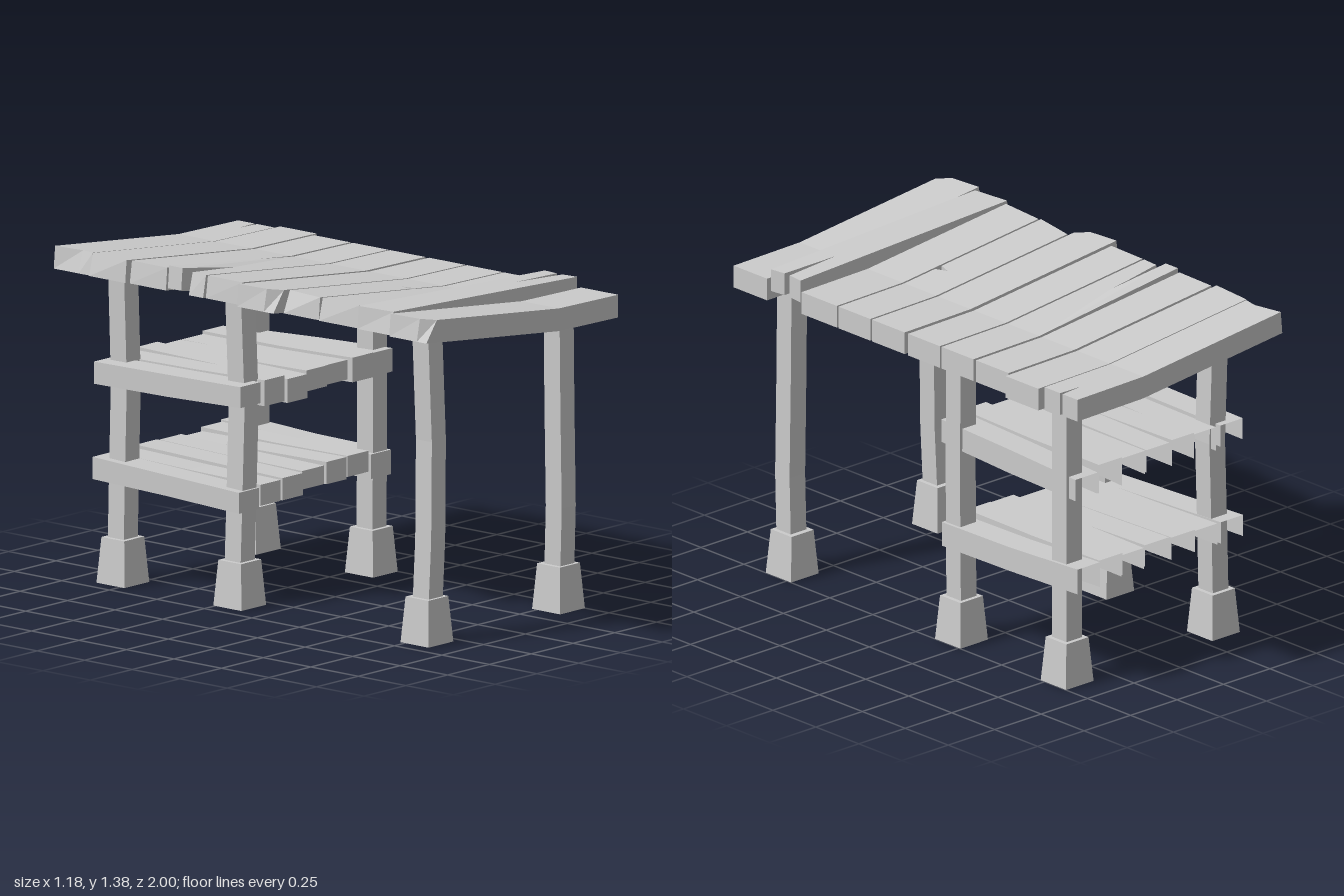
import * as THREE from 'three';

const material = new THREE.MeshStandardMaterial({ color: 0xcccccc, flatShading: true, side: THREE.DoubleSide });

function makeMesh(name, triangles) {
  const geometry = new THREE.BufferGeometry();
  geometry.setAttribute('position', new THREE.Float32BufferAttribute(triangles.flat(2), 3));
  geometry.computeVertexNormals();
  const mesh = new THREE.Mesh(geometry, material);
  mesh.name = name;
  return mesh;
}

const quad = (a, b, c, d) => [[a, b, c], [a, c, d]];

// Skins four-cornered sections; an open loft leaves out the side between the last and first corner
function loft(name, sections, { closed = true, startCap = false, endCap = false }) {
  const tris = [];
  for (let i = 0; i < sections.length - 1; i++) {
    const a = sections[i], b = sections[i + 1];
    for (let k = 0; k < (closed ? 4 : 3); k++) {
      const n = (k + 1) % 4;
      tris.push(...quad(a[k], a[n], b[n], b[k]));
    }
  }
  if (startCap) tris.push(...quad(...[...sections[0]].reverse()));
  if (endCap) tris.push(...quad(...sections[sections.length - 1]));
  return makeMesh(name, tris);
}

// Horizontal square, counter-clockwise from above
const square = (x, y, z, h) => [[x - h, y, z + h], [x + h, y, z + h], [x + h, y, z - h], [x - h, y, z - h]];

// Roof slope: steeper up to the kink, then almost level
const KINK = 0.2;
const bentSlope = (x) => (x < KINK ? 1.285 - (x - KINK) * 0.107 : 1.285 - (x - KINK) * 0.015);
const straightSlope = (x) => 1.345 - x * 0.042;

// Roof plank, open below: plan outline split at the kink, with optional notches
function roofPlank({ z0, z1, xBack = -0.54, xFront = -0.54, x1 = 0.555, leftNotch = [], rightNotch = [],
  frontNotch = [], chamfer = false, slope = bentSlope, lift = () => 0 }) {
  const corner = chamfer ? [[xFront + 0.01, z1 - 0.05], [xFront + 0.055, z1]] : [[xFront, z1]];
  const left = [[KINK, z0], [xBack, z0], ...leftNotch, ...corner, ...frontNotch, [KINK, z1]];
  const right = [[KINK, z1], [x1, z1], ...rightNotch, [x1, z0], [KINK, z0]];
  const xMin = Math.min(xBack, xFront);
  const top = ([x, z]) => [x, slope(x) + lift(x, z), z];
  const bottom = ([x, z]) => {
    const bx = x < -0.5 ? xMin - 0.008 : x;
    return [bx, slope(bx) + lift(x, z) - 0.092, z];
  };
  const tris = [];
  for (const outline of [left, right]) {
    const points = outline.map(([x, z]) => new THREE.Vector2(x, -z));
    for (const [i, j, k] of THREE.ShapeUtils.triangulateShape(points, [])) {
      const ccw = THREE.ShapeUtils.area([points[i], points[j], points[k]]) > 0;
      tris.push((ccw ? [i, j, k] : [i, k, j]).map((n) => top(outline[n])));
    }
    for (let i = 0; i < outline.length - 1; i++) {
      const a = outline[i], b = outline[i + 1];
      tris.push(...quad(bottom(a), bottom(b), top(b), top(a)));
    }
  }
  return makeMesh('roofPlank', tris);
}

// Shelf board along z, open below and at the back: tops are heights at front, middle and back
function shelfBoard([x0, x1, tops, depths, zFront, zBack]) {
  const sections = tops.map((y, i) => {
    const z = zFront + (zBack - zFront) * i / 2, low = y - depths[i];
    return [[x0, low, z], [x0, y, z], [x1, y, z], [x1, low, z]];
  });
  return loft('shelfBoard', sections, { closed: false, startCap: true });
}

export function createModel() {
  const model = new THREE.Group();
  model.name = 'shelter';

  // Roof of ten weathered planks
  const roof = new THREE.Group();
  roof.name = 'roof';
  const planks = [
    { z0: -1, z1: -0.81, xFront: -0.53, xBack: -0.54, leftNotch: [[-0.52, -0.87]],
      rightNotch: [[0.555, -0.9], [0.45, -0.905], [0.555, -0.915]] },
    { z0: -0.805, z1: -0.615, xBack: -0.535, xFront: -0.55, x1: 0.585 },
    { z0: -0.6, z1: -0.41, xBack: -0.535 },
    { z0: -0.395, z1: -0.21, xBack: -0.545, xFront: -0.535,
      leftNotch: [[-0.545, -0.325], [-0.36, -0.312], [-0.26, -0.305], [-0.36, -0.3], [-0.53, -0.285]],
      lift: (x, z) => (x < -0.5 && z < -0.3 ? 0.012 : 0) },
    { z0: -0.2, z1: -0.015, xBack: -0.535 },
    { z0: 0.005, z1: 0.195, xBack: -0.585, xFront: -0.585, chamfer: true },
    { z0: 0.205, z1: 0.39, xBack: -0.505, xFront: -0.535,
      frontNotch: [[0, 0.39], [0.018, 0.335], [0.035, 0.39]] },
    { z0: 0.4, z1: 0.605, xBack: -0.53, xFront: -0.545 },
    { z0: 0.62, z1: 0.79, xBack: -0.565, xFront: -0.55, x1: 0.548, slope: straightSlope,
      rightNotch: [[0.54, 0.72], [0.28, 0.702], [0.54, 0.69]] },
    { z0: 0.805, z1: 1, xBack: -0.585, xFront: -0.585, chamfer: true },
  ];
  planks.forEach((p) => roof.add(roofPlank(p)));
  model.add(roof);

  // Six posts standing in tapered feet; left side posts bow inwards
  const rows = [
    { z: 0.8, sway: [0.005, 0.012, 0.005, 0] },
    { z: -0.185, sway: [0, 0.003, 0.005, 0] },
    { z: -0.8, sway: [0, 0, 0, 0] },
  ];
  const levels = [0.185, 0.42, 0.82];
  for (const { z, sway } of rows) {
    for (const [x, top, bow] of [[-0.362, 1.3, [0, 0.006, 0.018, 0]], [0.425, 1.24, [0, 0, 0, 0]]]) {
      const support = new THREE.Group();
      support.name = 'support';
      const sections = [...levels, top].map((y, i) => square(x + bow[i], y, z + sway[i], 0.042));
      support.add(loft('post', [square(x, 0.005, z, 0.042), ...sections], { startCap: true, endCap: true }));
      support.add(loft('foot', [square(x, 0, z, 0.074), square(x, 0.185, z, 0.06)], { endCap: true }));
      model.add(support);
    }
  }

  // Two shelves of seven boards: x range, top heights, depths, front and back z
  const upper = [
    [-0.455, -0.335, [0.912, 0.905, 0.9], [0.085, 0.09, 0.09], -0.1, -0.87],
    [-0.31, -0.19, [0.915, 0.905, 0.9], [0.105, 0.1, 0.1], -0.1, -0.87],
    [-0.185, -0.065, [0.9, 0.905, 0.912], [0.097, 0.1, 0.11], -0.09, -0.88],
    [-0.06, 0.063, [0.912, 0.905, 0.9], [0.085, 0.09, 0.095], -0.1, -0.87],
    [0.07, 0.198, [0.91, 0.9, 0.9], [0.08, 0.09, 0.1], -0.11, -0.87],
    [0.205, 0.328, [0.92, 0.91, 0.91], [0.1, 0.1, 0.12], -0.09, -0.88],
    [0.335, 0.455, [0.915, 0.9, 0.88], [0.095, 0.1, 0.09], -0.1, -0.88],
  ];
  const lower = [
    [-0.43, -0.31, [0.475, 0.49, 0.505], [0.085, 0.085, 0.09], -0.13, -0.9],
    [-0.3, -0.18, [0.485, 0.49, 0.5], [0.085, 0.085, 0.09], -0.13, -0.89],
    [-0.17, -0.045, [0.49, 0.5, 0.51], [0.09, 0.09, 0.095], -0.13, -0.9],
    [-0.04, 0.09, [0.495, 0.5, 0.51], [0.075, 0.085, 0.09], -0.14, -0.89],
    [0.095, 0.215, [0.51, 0.505, 0.5], [0.09, 0.09, 0.09], -0.13, -0.89],
    [0.22, 0.345, [0.513, 0.51, 0.515], [0.085, 0.085, 0.095], -0.13, -0.9],
    [0.36, 0.48, [0.495, 0.5, 0.518], [0.1, 0.1, 0.105], -0.13, -0.92],
  ];
  for (const [name, boards] of [['upperShelf', upper], ['lowerShelf', lower]]) {
    const shelf = new THREE.Group();
    shelf.name = name;
    boards.forEach((b) => shelf.add(shelfBoard(b)));
    model.add(shelf);
  }
  return model;
}
